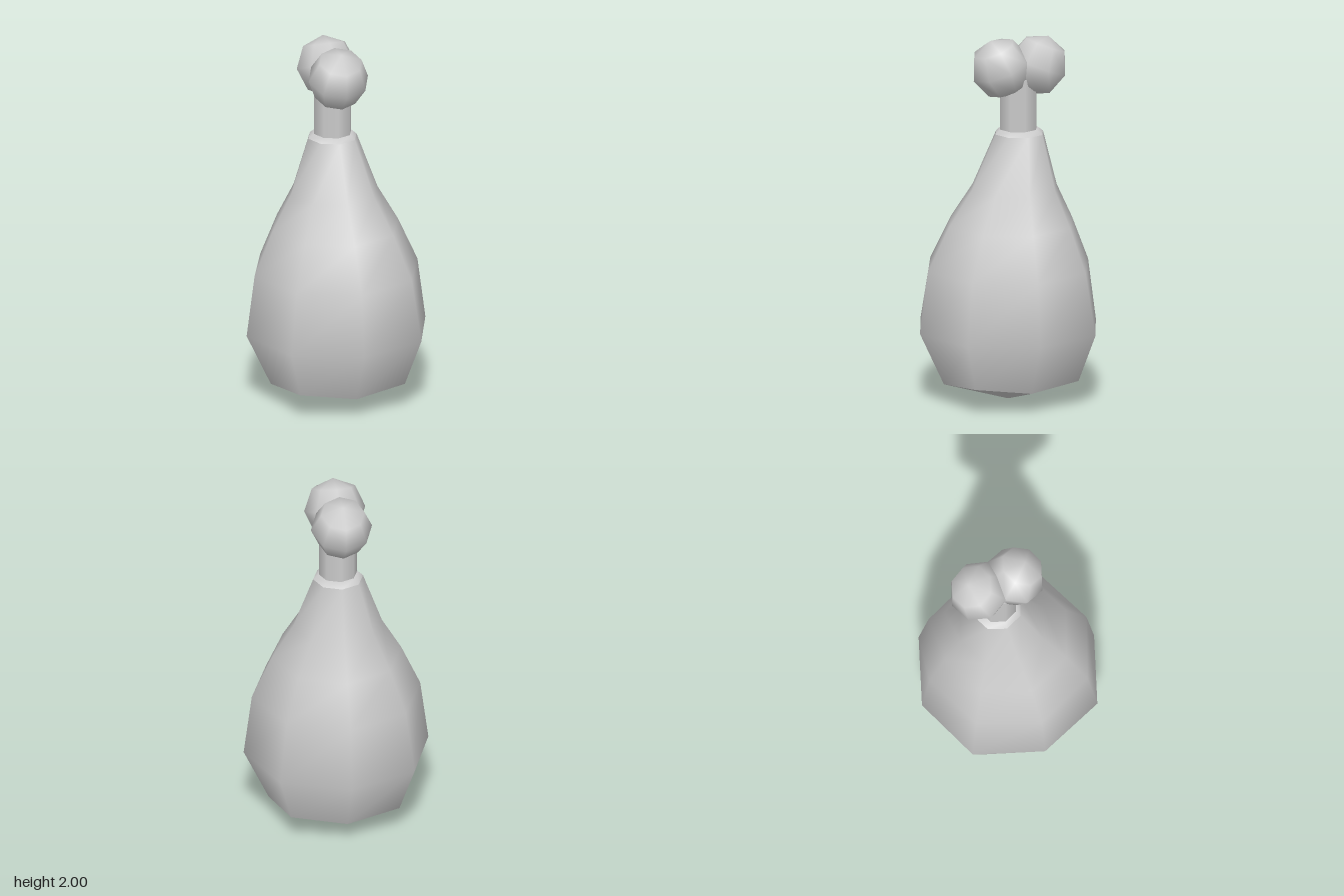
import * as THREE from 'three';

const SIDES = 8;
const grey = new THREE.MeshStandardMaterial({ color: 0xcccccc });

// Skin a stack of octagonal rings, listed from bottom to top.
// Ring: [y, radius at the axes, z of the centre, radius at the diagonals, y at the diagonals]
function loft(rings) {
  const positions = [], index = [];
  for (const [y, r, z = 0, rDiag = r, yDiag = y] of rings) {
    for (let i = 0; i < SIDES; i++) {
      const a = (i / SIDES) * Math.PI * 2;
      const radius = i % 2 ? rDiag : r;
      positions.push(radius * Math.sin(a), i % 2 ? yDiag : y, z + radius * Math.cos(a));
    }
  }
  for (let k = 0; k < rings.length - 1; k++) {
    for (let i = 0; i < SIDES; i++) {
      const j = (i + 1) % SIDES;
      const a = k * SIDES + i, b = k * SIDES + j;
      index.push(a, b, b + SIDES, a, b + SIDES, a + SIDES);
    }
  }
  const geometry = new THREE.BufferGeometry();
  geometry.setAttribute('position', new THREE.Float32BufferAttribute(positions, 3));
  geometry.setIndex(index);
  geometry.computeVertexNormals();
  return geometry;
}

export function createModel() {
  const model = new THREE.Group();
  model.name = 'drumstick';
  const add = (name, geometry, x = 0, y = 0, z = 0) => {
    const mesh = new THREE.Mesh(geometry, grey);
    mesh.name = name;
    mesh.position.set(x, y, z);
    model.add(mesh);
    return mesh;
  };

  // Meat: plump base, narrowing and leaning back towards the bone
  const baseRing = [0.11, 0.37, 0, 0.42, 0.14];
  const neckRing = [1.475, 0.137, -0.065];
  add('meat', loft([
    baseRing,
    [0.4, 0.507, 0, 0.52],
    [0.74, 0.462, 0],
    [0.98, 0.355, -0.015],
    [1.17, 0.246, -0.035],
    neckRing,
  ]));

  // Shallow pointed underside and the sloped rim around the bone
  add('meatUnderside', loft([[0, 0], baseRing]));
  add('meatRim', loft([neckRing, [1.5, 0.108, -0.062], [1.51, 0, -0.06]]));

  // Bone shaft, its upper end hidden inside the knobs
  const boneZ = -0.06;
  add('boneShaft', new THREE.CylinderGeometry(0.105, 0.105, 0.35, SIDES), 0, 1.615, boneZ);

  // Pair of knobs tilted away from each other
  for (const [name, side] of [['frontKnob', 1], ['backKnob', -1]]) {
    const knob = add(name, new THREE.SphereGeometry(0.168, SIDES, 4), 0, 1.843, -0.066 + side * 0.107);
    knob.rotation.x = side * 0.37;
  }

  return model;
}
